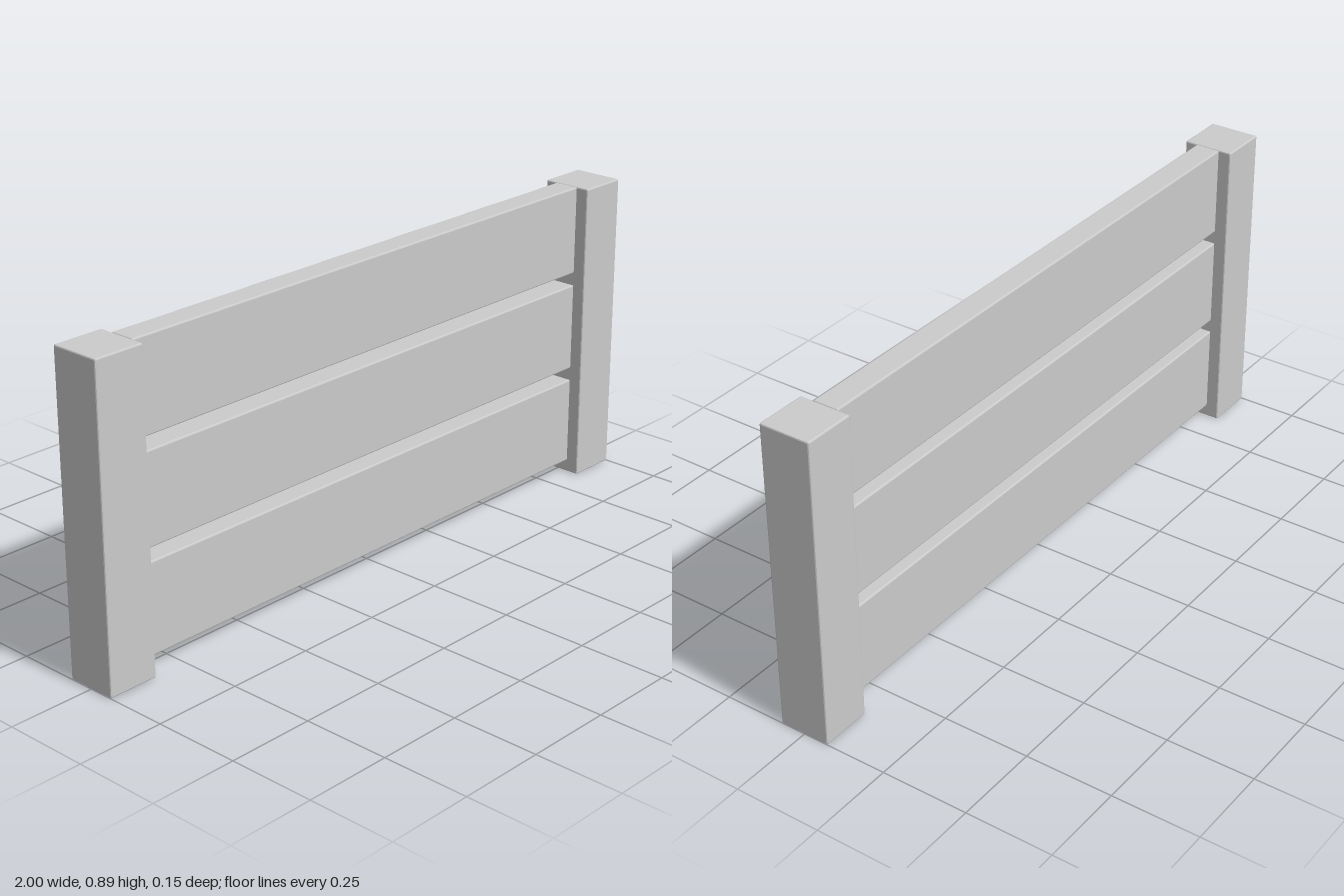
import * as THREE from 'three';
import { RoundedBoxGeometry } from 'three/addons/geometries/RoundedBoxGeometry.js';

// All sizes are multiples of one module
const U = 2 / 54;
const BEVEL = 0.004;

export function createModel() {
  const fence = new THREE.Group();
  fence.name = 'fencePanel';
  const material = new THREE.MeshStandardMaterial({ color: 0xcccccc, flatShading: true });

  // Slightly eased timber, placed by its centre
  const addTimber = (name, width, height, depth, x, y) => {
    const mesh = new THREE.Mesh(new RoundedBoxGeometry(width, height, depth, 1, BEVEL), material);
    mesh.name = name;
    mesh.position.set(x, y, 0);
    fence.add(mesh);
  };

  // Square end posts
  for (const [name, side] of [['leftPost', 1], ['rightPost', -1]]) {
    addTimber(name, 4 * U, 24 * U, 4 * U, side * 25 * U, 12 * U);
  }

  // Three planks between the posts, with equal gaps and a flush top
  ['lowerPlank', 'middlePlank', 'upperPlank'].forEach((name, i) => {
    addTimber(name, 46 * U, 7 * U, 2 * U, 0, (4.5 + 8 * i) * U);
  });

  return fence;
}
